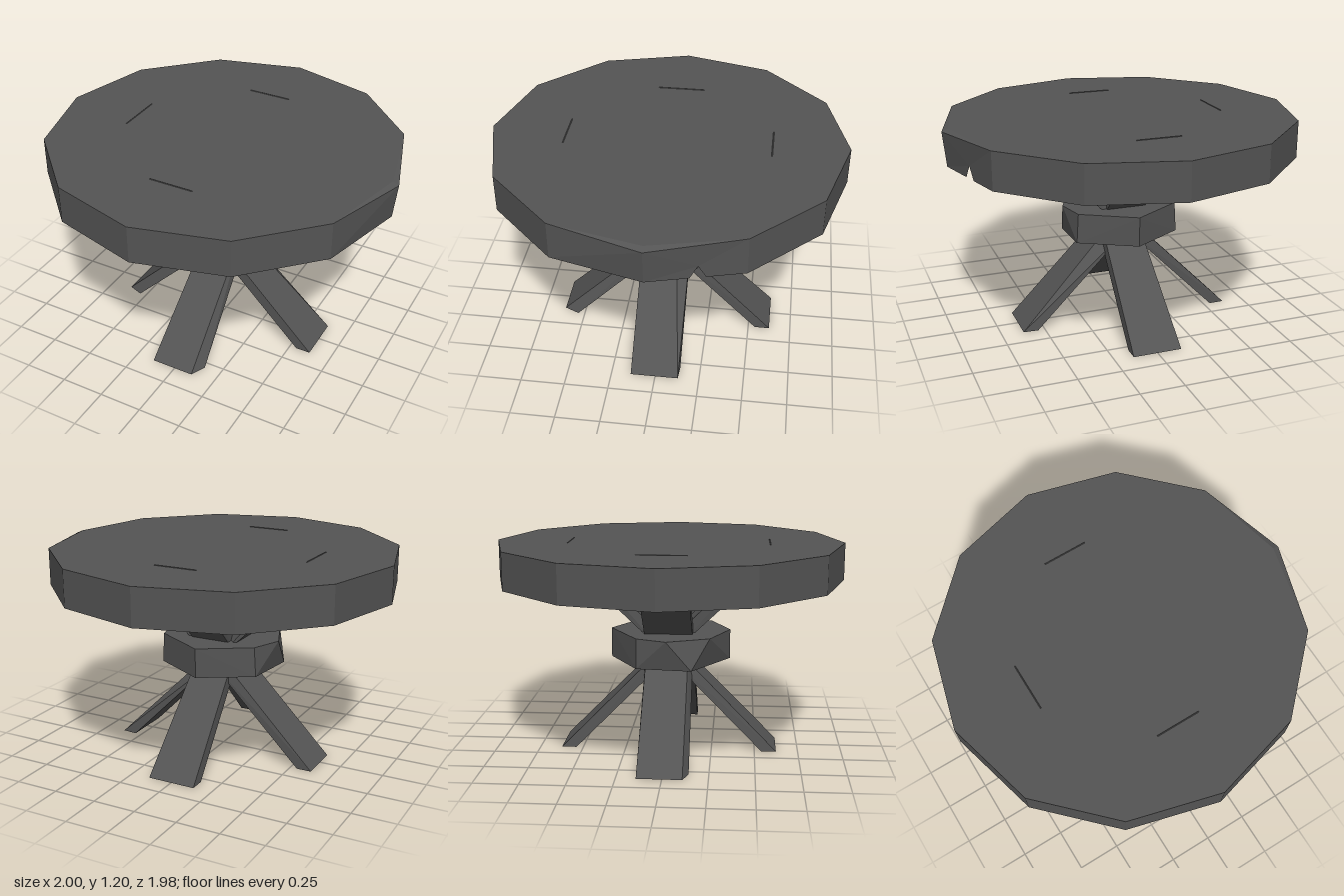
import * as THREE from 'three';
import { ConvexGeometry } from 'three/addons/geometries/ConvexGeometry.js';

const V = (x, y, z) => new THREE.Vector3(x, y, z);

// Flat-shaded geometry from a list of corner triples
function fromTriangles(tris) {
  const geometry = new THREE.BufferGeometry().setFromPoints(tris.flat());
  geometry.computeVertexNormals();
  return geometry;
}

// Twelve-sided top, open underneath, with a bevelled corner and a chipped rim
function tabletopGeometry() {
  const sides = 12, low = 0.99, high = 1.2;
  const bottom = [], rim = [];
  for (let i = 0; i < sides; i++) {
    const a = (i / sides) * Math.PI * 2;
    const x = Math.cos(a) * 0.99 - 0.01, z = -Math.sin(a) * 0.988;
    bottom.push(V(x, low, z));
    rim.push(V(x, high, z));
  }
  rim[0].set(1, 1.185, 0);
  const tris = [];

  // Rim panels
  for (let i = 1; i < sides; i++) {
    const j = (i + 1) % sides;
    tris.push([bottom[i], bottom[j], rim[j]], [bottom[i], rim[j], rim[i]]);
  }

  // Chipped panel: a triangular gap in the lower edge
  const a = bottom[0].clone().lerp(bottom[1], 0.44);
  const c = bottom[0].clone().lerp(bottom[1], 0.6);
  const apex = a.clone().lerp(c, 0.5).setY(1.06);
  tris.push(
    [bottom[0], a, apex], [bottom[0], apex, rim[0]], [apex, rim[1], rim[0]],
    [apex, bottom[1], rim[1]], [apex, c, bottom[1]]
  );

  // Top face and corner bevel
  const inner = V(0.965, high, 0), middle = V(0, high, 0);
  const loop = [inner, ...rim.slice(1)];
  loop.forEach((p, i) => tris.push([middle, p, loop[(i + 1) % sides]]));
  tris.push([rim[0], rim[1], inner], [rim[0], inner, rim[11]]);
  return fromTriangles(tris);
}

// Uneven faceted block: eight corners above, six below
function hubGeometry() {
  const upper = [[0, 0.35], [0.23, 0.24], [0.34, 0], [0.3, -0.17], [0, -0.34], [-0.28, -0.17], [-0.35, 0], [-0.25, 0.24]];
  const lower = [[0, 0.35], [0.32, 0.09], [0.31, -0.17], [0, -0.34], [-0.29, -0.17], [-0.325, 0.14]];
  return new ConvexGeometry([
    ...upper.map(([x, z]) => V(x, 0.69, z)),
    ...lower.map(([x, z]) => V(x, 0.52, z)),
  ]);
}

// Left and right edges of each plank's upper and lower face, at foot, waist and head
const LEGS = [
  { name: 'frontLeg', head: 1.203, foot: [-0.14, 0.11, -0.14, 0.15], waist: [-0.09, 0.115, -0.1, 0.125], top: [-0.14, 0.11, -0.13, 0.12] },
  { name: 'leftLeg', head: 1.203, foot: [-0.14, 0.13, -0.14, 0.135], waist: [-0.14, 0.045, -0.14, 0.135], top: [-0.13, 0.14, -0.13, 0.14] },
  { name: 'backLeg', head: 1.203, foot: [-0.14, 0.14, -0.14, 0.14], waist: [-0.125, 0.09, -0.13, 0.09], top: [-0.11, 0.14, -0.12, 0.13] },
  { name: 'rightLeg', head: 1.195, foot: [-0.14, 0.11, -0.14, 0.14], waist: [-0.13, 0.11, -0.14, 0.135], top: [-0.14, 0.13, -0.14, 0.135] },
];

// Four corners of a plank section: upper edge at (uy, uz), lower edge at (ly, lz)
const section = ([ul, ur, ll, lr], uy, uz, ly, lz) =>
  [V(ul, uy, uz), V(ur, uy, uz), V(ll, ly, lz), V(lr, ly, lz)];

export function createModel() {
  const model = new THREE.Group();
  model.name = 'roundTable';
  const charcoal = new THREE.MeshStandardMaterial({ color: 0x545454, side: THREE.DoubleSide });
  charcoal.name = 'charcoal';

  const add = (parent, name, geometry) => {
    const mesh = new THREE.Mesh(geometry, charcoal);
    mesh.name = name;
    parent.add(mesh);
  };

  add(model, 'tabletop', tabletopGeometry());
  add(model, 'hub', hubGeometry());

  // Four crossing planks, each narrowed where it passes through the hub
  LEGS.forEach(({ name, head, foot, waist, top }, i) => {
    const leg = new THREE.Group();
    leg.name = name;
    leg.rotation.y = (i * Math.PI) / 2;
    const footEnd = section(foot, 0, 0.625, 0, 0.54);
    const middle = section(waist, 0.622, 0.01, 0.578, -0.035);
    const headEnd = section(top, head, -0.567, 1.15, -0.63);
    add(leg, 'lowerPlank', new ConvexGeometry([...footEnd, ...middle]));
    add(leg, 'upperPlank', new ConvexGeometry([...middle, ...headEnd]));
    model.add(leg);
  });
  return model;
}
